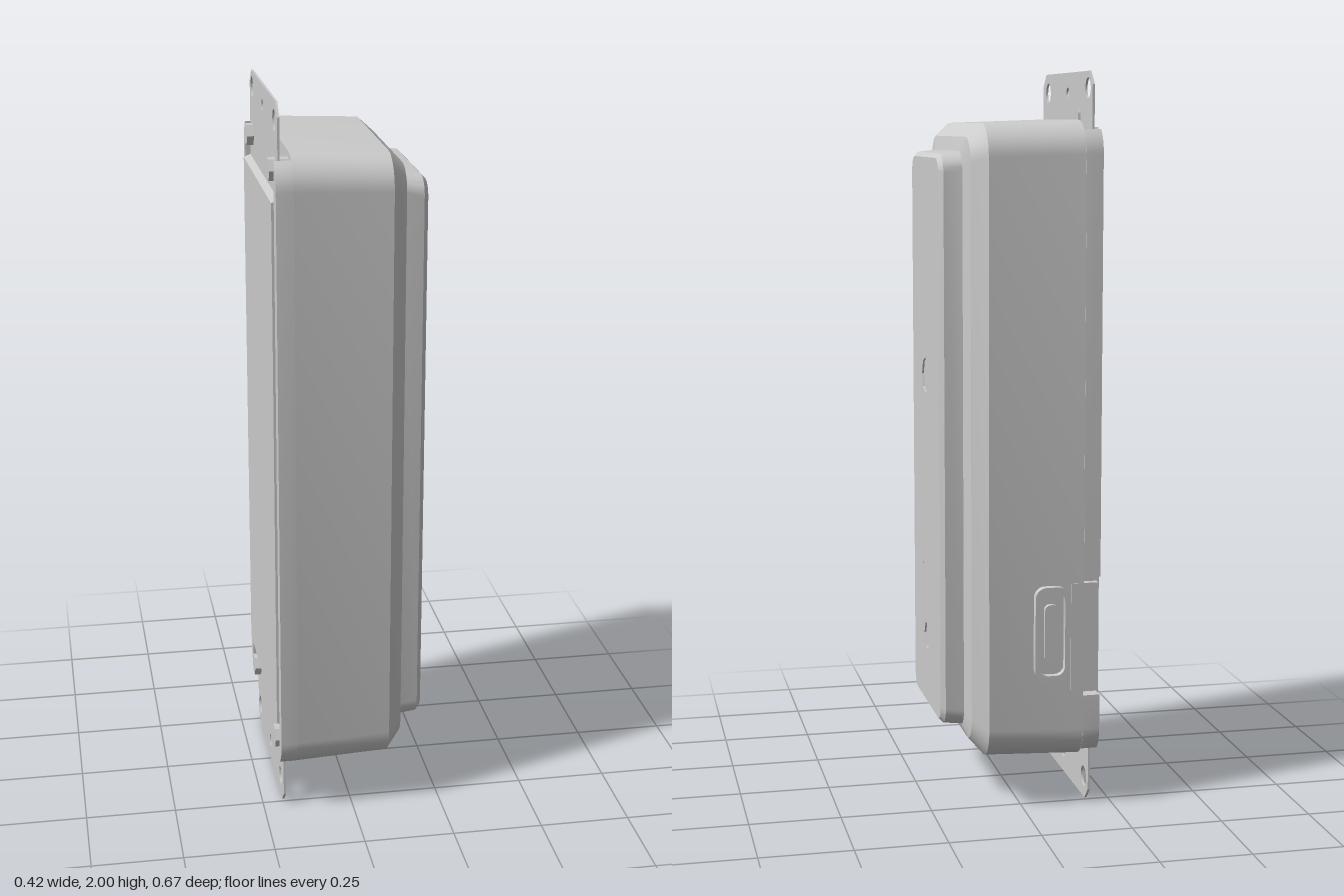
import * as THREE from 'three';
import { toCreasedNormals } from 'three/addons/utils/BufferGeometryUtils.js';

// Sections are drawn in (u, y) with u = -z, and stacked along x.
const mat = new THREE.MeshStandardMaterial({ color: 0xcccccc, side: THREE.DoubleSide });

// Rounded rectangle as a counter-clockwise list of points
function roundRect(u0, u1, y0, y1, r, n = 8) {
  const pts = [];
  const corners = [[u1 - r, y0 + r, -0.5], [u1 - r, y1 - r, 0], [u0 + r, y1 - r, 0.5], [u0 + r, y0 + r, 1]];
  for (const [u, y, start] of corners) {
    for (let i = 0; i <= n; i++) {
      const a = (start + (0.5 * i) / n) * Math.PI;
      pts.push(new THREE.Vector2(u + r * Math.cos(a), y + r * Math.sin(a)));
    }
  }
  return pts;
}

function circle(u, y, r, sides = 16) {
  return Array.from({ length: sides }, (_, i) => {
    const a = (i / sides) * Math.PI * 2;
    return new THREE.Vector2(u + r * Math.cos(a), y + r * Math.sin(a));
  });
}

function makeShape(points, holes = []) {
  const s = new THREE.Shape(points);
  s.holes = holes.map((h) => new THREE.Path(h));
  return s;
}

// Flat part between x0 and x1
function slab(points, x0, x1, holes = []) {
  const g = new THREE.ExtrudeGeometry(makeShape(points, holes), { depth: x1 - x0, bevelEnabled: false });
  return toCreasedNormals(g.translate(0, 0, x0).rotateY(Math.PI / 2), 0.6);
}

// Shell through rounded rectangles [x, u0, u1, y0, y1, radius]
function loft(sections) {
  const rings = sections.map(([x, ...r]) => roundRect(...r).map((p) => [p.x, p.y, x]));
  const pos = [];
  for (let k = 0; k + 1 < rings.length; k++) {
    const a = rings[k], b = rings[k + 1];
    for (let i = 0; i < a.length; i++) {
      const j = (i + 1) % a.length;
      pos.push(...a[i], ...a[j], ...b[j], ...a[i], ...b[j], ...b[i]);
    }
  }
  const g = new THREE.BufferGeometry();
  g.setAttribute('position', new THREE.Float32BufferAttribute(pos, 3));
  return toCreasedNormals(g.rotateY(Math.PI / 2), 0.4);
}

export function createModel() {
  const model = new THREE.Group();
  const add = (name, geometry) => {
    const m = new THREE.Mesh(geometry, mat);
    m.name = name;
    model.add(m);
    return m;
  };
  const v = (u, y) => new THREE.Vector2(u, y);

  // Housing: tapered walls, chamfered rim, gently sloped face
  add('housing', loft([
    [-0.16, -0.329, 0.317, 0.135, 1.873, 0.09],
    [0.1, -0.32, 0.308, 0.143, 1.864, 0.09],
    [0.14, -0.28, 0.266, 0.188, 1.828, 0.065],
    [0.15, -0.22, 0.208, 0.215, 1.79, 0.05],
  ]));
  add('housingBack', slab(roundRect(-0.327, 0.315, 0.137, 1.871, 0.09), -0.16, -0.155));

  // Side walls running back past the mounting plate; one has a notch
  const outline = roundRect(-0.33, 0.318, 0.135, 1.874, 0.09);
  add('sideWall', slab(outline.filter((p) => p.x < -0.288), -0.206, -0.16));
  const wall = outline.filter((p) => p.x > 0.28);
  add('notchedWallLower', slab([...wall.filter((p) => p.y < 1), v(0.318, 0.32), v(0.28, 0.32)], -0.206, -0.16));
  add('notchedWallUpper', slab([v(0.28, 0.65), v(0.318, 0.65), ...wall.filter((p) => p.y > 1)], -0.206, -0.16));
  add('notchPlate', new THREE.BoxGeometry(0.075, 0.3, 0.02)).position.set(-0.162, 0.485, -0.309);

  // Raised front panel with two shallow round recesses and a pin hole
  add('panelSides', loft([
    [0.145, -0.22, 0.208, 0.215, 1.79, 0.05],
    [0.2, -0.216, 0.204, 0.22, 1.784, 0.05],
    [0.212, -0.204, 0.192, 0.232, 1.772, 0.042],
  ]));
  const recesses = [[-0.015, 1.17, 0.05, 8], [-0.012, 0.425, 0.04, 6], [-0.055, 0.625, 0.005, 6]];
  add('panelFace', slab(roundRect(-0.204, 0.192, 0.232, 1.772, 0.042), 0.2, 0.212,
    recesses.map((r) => circle(...r))));
  for (const r of recesses) add('recessFloor', slab(circle(...r), 0.198, 0.207));

  // Mounting plate with chamfered ends and screw holes
  const c = 0.035, w = 0.272;
  add('mountingPlate', slab(
    [v(-w + c, 0), v(w - c, 0), v(w, c), v(w, 2 - c), v(w - c, 2), v(-w + c, 2), v(-w, 2 - c), v(-w, c)],
    -0.193, -0.187,
    [circle(-0.212, 1.947, 0.028), circle(0.225, 1.955, 0.028), circle(0.01, 1.945, 0.015),
      circle(-0.207, 0.06, 0.026), circle(0.225, 0.06, 0.028), circle(0, 0.06, 0.018)]));
  for (const [y0, y1] of [[1.77, 1.9], [0.105, 0.25]]) {
    add('plateTab', slab(roundRect(-0.14, 0.15, y0, y1, 0.012, 3), -0.188, -0.18));
  }

  // Back cover with sloped ends
  const cover = slab([v(-0.285, 0.25), v(0.28, 0.25), v(0.28, 1.77), v(-0.285, 1.77)], -0.212, -0.165);
  const p = cover.attributes.position;
  for (let i = 0; i < p.count; i++) {
    if (p.getX(i) < -0.2) p.setY(i, p.getY(i) + (p.getY(i) > 1 ? -0.02 : 0.02));
  }
  cover.computeVertexNormals();
  add('backCover', cover);

  // Screws holding the plate
  for (const u of [-0.225, 0.225]) {
    for (const y of [0.2, 1.825]) add('plateScrew', slab(circle(u, y, 0.032, 6), -0.212, -0.16));
  }

  // Socket on the side: raised rim with an inner block
  const rim = new THREE.ExtrudeGeometry(
    makeShape(roundRect(-0.115, -0.022, 0.37, 0.63, 0.03, 5), [roundRect(-0.104, -0.033, 0.385, 0.615, 0.024, 5)]),
    { depth: 0.05, bevelEnabled: false });
  add('socketRim', toCreasedNormals(rim.translate(0, 0, -0.335), 0.6));
  const core = new THREE.ExtrudeGeometry(makeShape(roundRect(-0.088, -0.05, 0.42, 0.58, 0.015, 4)),
    { depth: 0.03, bevelEnabled: false });
  add('socketCore', toCreasedNormals(core.translate(0, 0, -0.327), 0.6));

  return model;
}
